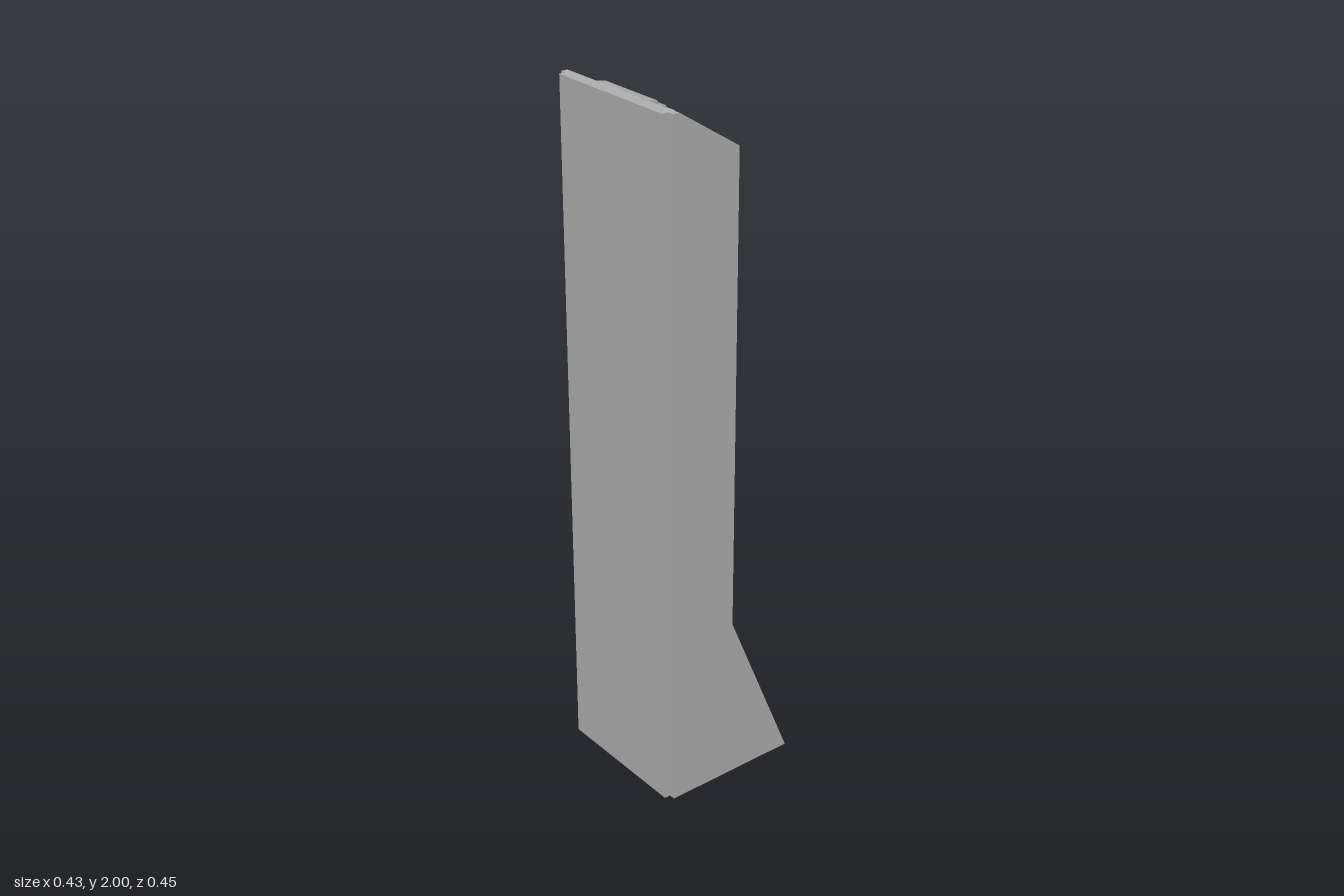
import * as THREE from 'three';

const grey = new THREE.MeshStandardMaterial({ color: 0xb0b0b0 });
grey.name = 'plain grey';

// Height of the sloping top rim at a given x
const rim = (x) => (x <= -0.18 ? 2 : 2 - (x + 0.18) * 0.638);

// Skin between loops of [x, y, z] points (counter-clockwise from above), capped at both ends
function loft(sections, flip = false) {
  const pos = [];
  const tri = (a, b, c) => {
    const corners = flip ? [a, c, b] : [a, b, c];
    for (const [x, y, z] of corners) pos.push(x, y, flip ? -z : z);
  };
  const n = sections[0].length;
  for (let s = 0; s < sections.length - 1; s++) {
    const lo = sections[s], hi = sections[s + 1];
    for (let i = 0; i < n; i++) {
      const j = (i + 1) % n;
      tri(lo[i], lo[j], hi[j]);
      tri(lo[i], hi[j], hi[i]);
    }
  }
  const bottom = sections[0], top = sections[sections.length - 1];
  for (let i = 1; i < n - 1; i++) {
    tri(bottom[0], bottom[i + 1], bottom[i]);
    tri(top[0], top[i], top[i + 1]);
  }
  const g = new THREE.BufferGeometry();
  g.setAttribute('position', new THREE.Float32BufferAttribute(pos, 3));
  g.computeVertexNormals();
  return g;
}

// Side outline in x, y swept across the width
function sweep(points, halfWidth) {
  const shape = new THREE.Shape(points.map(([x, y]) => new THREE.Vector2(x, y)));
  return new THREE.ExtrudeGeometry(shape, { depth: 2 * halfWidth, bevelEnabled: false })
    .translate(0, 0, -halfWidth);
}

export function createModel() {
  const model = new THREE.Group();
  model.name = 'tower';
  const add = (name, geometry) => {
    const mesh = new THREE.Mesh(geometry, grey);
    mesh.name = name;
    model.add(mesh);
  };
  const box = (name, x0, x1, y1, halfWidth) =>
    add(name, new THREE.BoxGeometry(x1 - x0, y1, 2 * halfWidth).translate((x0 + x1) / 2, y1 / 2, 0));

  // Back
  box('backPlate', -0.218, -0.2, 2, 0.209);
  box('backFrame', -0.2, -0.18, 2, 0.19);
  box('innerPanel', -0.18, -0.155, 1.93, 0.174);

  // Side walls: flared foot, bevelled inner front edge, thin rim around the recessed top
  const levels = [
    { y: () => 0, front: 0.216, frontZ: 0.19, bevel: 0.15, midX: 0.216 },
    { y: () => 0.5, front: 0.007, frontZ: 0.208, bevel: -0.04, midX: -0.017 },
    { y: rim, front: 0.007, frontZ: 0.208, bevel: -0.04, midX: -0.017 },
  ];
  const outer = levels.map((l) =>
    [[-0.18, 0.227], [l.front, 0.227], [l.front, l.frontZ], [l.midX, 0.19],
      [-0.18, 0.19], [-0.2, 0.19], [-0.2, 0.227]].map(([x, z]) => [x, l.y(x), z]));
  const inner = levels.map((l, i) =>
    [[-0.18, 0.19], [l.midX, 0.19], [l.bevel, 0.173], [-0.18, 0.173]]
      .map(([x, z]) => [x, l.y(x) - (i === 2 ? 0.02 : 0), z]));
  for (const flip of [false, true]) {
    const side = flip ? 'right' : 'left';
    add(side + 'Wall', loft(outer, flip));
    add(side + 'WallLining', loft(inner, flip));
  }

  // Raised upright ribs with sloped edges and feet
  const rib = (z0, z1) => [[0, -0.153], [0.022, -0.13], [1.9, -0.13]].map(([y, x]) =>
    [[-0.157, y, z1], [x, y, z1 - 0.009], [x, y, z0 + 0.009], [-0.157, y, z0]]);
  for (const flip of [false, true]) {
    add('wideRib', loft(rib(0.092, 0.181), flip));
    add('narrowRib', loft(rib(0.027, 0.063), flip));
  }

  // Recessed sloping cap
  add('topCap', sweep([[-0.18, 1.98], [-0.18, 1.884], [-0.08, 1.82], [-0.04, 1.89]], 0.19));

  // Stepped grille block on the cap
  const steps = 7, x0 = -0.176, x1 = 0.008, run = (x1 - x0) / steps;
  const grille = [[-0.18, 1.95], [-0.025, 1.838], [x1, 1.88]];
  for (let i = steps - 1; i >= 0; i--) {
    const x = x0 + i * run, y = 2 - (i * 0.12) / steps;
    if (i < steps - 1) grille.push([x + run, y - 0.006]);
    else grille.push([x1, y - 0.006]);
    grille.push([x + 0.003, y - 0.001]);
  }
  grille.push([-0.18, 2]);
  add('grille', sweep(grille, 0.104));

  return model;
}
